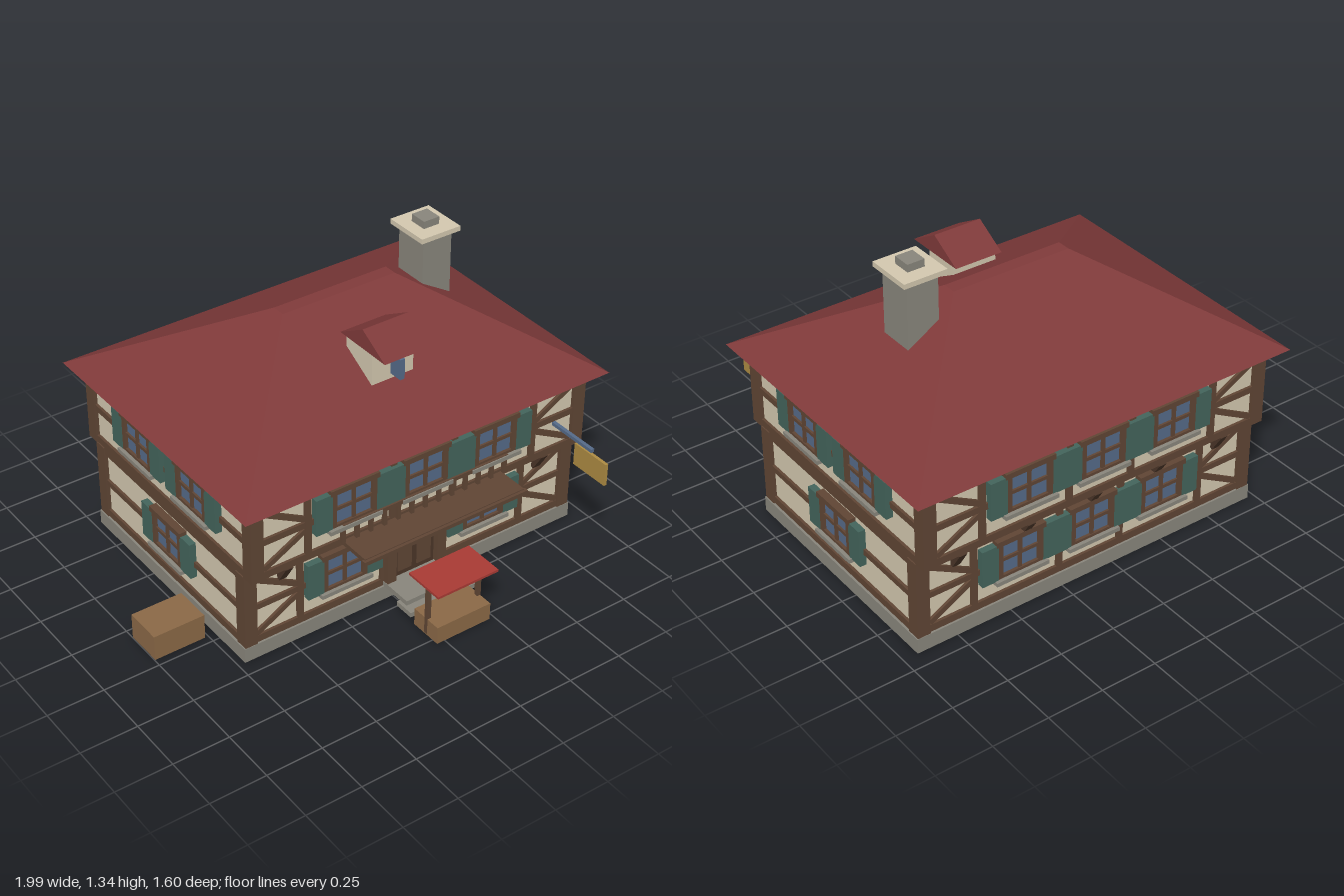
import * as THREE from 'three';

const colours = {
  plaster: 0xd2c7ae, timber: 0x5f4534, darkWood: 0x4a3528, roofRed: 0x7f3a3a, shutterGreen: 0x43645b,
  glassBlue: 0x556a88, stone: 0x88857b, crateWood: 0x8a6846, signGold: 0xac8a42, awningRed: 0xa83a34,
};
const M = {};
for (const [name, color] of Object.entries(colours)) {
  M[name] = new THREE.MeshStandardMaterial({ color });
  M[name].name = name;
}

// Box from its extents on each axis
function box(parent, name, mat, x0, x1, y0, y1, z0, z1) {
  const mesh = new THREE.Mesh(new THREE.BoxGeometry(x1 - x0, y1 - y0, z1 - z0), M[mat]);
  mesh.position.set((x0 + x1) / 2, (y0 + y1) / 2, (z0 + z1) / 2);
  mesh.name = name;
  parent.add(mesh);
  return mesh;
}

// Solid roof: a rectangle at the eaves narrowing to a smaller one on top
function hipRoof(parent, name, x, z, y0, y1, bx, bz, tx, tz) {
  const geo = new THREE.BoxGeometry(2, y1 - y0, 2).toNonIndexed();
  const p = geo.attributes.position;
  for (let i = 0; i < p.count; i++) {
    const top = p.getY(i) > 0;
    p.setX(i, p.getX(i) * (top ? tx : bx));
    p.setZ(i, p.getZ(i) * (top ? tz : bz));
  }
  geo.computeVertexNormals();
  const mesh = new THREE.Mesh(geo, M.roofRed);
  mesh.position.set(x, (y0 + y1) / 2, z);
  mesh.name = name;
  parent.add(mesh);
}

// Timber lying on a wall between two points
function brace(parent, x0, y0, x1, y1, z) {
  const len = Math.hypot(x1 - x0, y1 - y0);
  const mesh = box(parent, 'brace', 'timber', -len / 2, len / 2, -0.012, 0.012, z - 0.01, z + 0.012);
  mesh.position.x = (x0 + x1) / 2;
  mesh.position.y = (y0 + y1) / 2;
  mesh.rotation.z = Math.atan2(y1 - y0, x1 - x0);
}

// Four-pane window with shutters and sill; y is the bottom of the frame
function windowUnit(parent, x, y, z) {
  const g = new THREE.Group();
  g.name = 'window';
  g.position.set(x, y, z);
  parent.add(g);
  box(g, 'glass', 'glassBlue', -0.09, 0.09, 0, 0.165, -0.005, 0.015);
  for (const s of [-1, 1]) {
    box(g, 'frameSide', 'timber', s * 0.096 - 0.012, s * 0.096 + 0.012, 0, 0.17, 0, 0.028);
    box(g, 'shutter', 'shutterGreen', s * 0.144 - 0.038, s * 0.144 + 0.038, -0.003, 0.165, 0, 0.03);
  }
  box(g, 'frameHead', 'timber', -0.115, 0.115, 0.158, 0.182, 0, 0.034);
  box(g, 'frameFoot', 'timber', -0.1, 0.1, -0.002, 0.012, 0, 0.028);
  box(g, 'mullion', 'timber', -0.008, 0.008, 0, 0.17, 0, 0.024);
  box(g, 'glazingBar', 'timber', -0.09, 0.09, 0.075, 0.09, 0, 0.024);
  box(g, 'sill', 'stone', -0.124, 0.124, -0.018, 0, 0, 0.044);
}

// One storey of one wall: rails, posts, corner braces and windows
function facade(house, name, turn, floor, halfLen, depth, windows, framed) {
  const g = new THREE.Group();
  g.name = name;
  g.rotation.y = turn;
  house.add(g);
  const upper = floor === 1;
  const rails = upper ? [[0.42, 0.453], [0.578, 0.606], [0.735, 0.77]] : [[0.067, 0.1], [0.23, 0.256], [0.385, 0.42]];
  for (const [a, b] of rails) box(g, 'rail', 'timber', -halfLen, halfLen, a, b, depth - 0.01, depth + 0.012);
  const [low, mid, high] = [rails[0][1], (rails[1][0] + rails[1][1]) / 2, rails[2][0]];
  if (framed) {
    for (const x of [-0.555, -0.15, 0.15, 0.555]) {
      box(g, 'post', 'timber', x - 0.014, x + 0.014, low, high, depth - 0.01, depth + 0.014);
    }
    for (const s of [-1, 1]) {
      brace(g, s * 0.76, high - 0.01, s * 0.565, mid + 0.025, depth);
      brace(g, s * 0.76, low + 0.01, s * 0.565, mid - 0.025, depth);
    }
  }
  for (const x of windows) windowUnit(g, x, upper ? 0.533 : 0.181, depth);
  return g;
}

function createModel() {
  const model = new THREE.Group();
  model.name = 'timberHouse';
  const house = new THREE.Group();
  house.name = 'house';
  house.position.set(0.108, 0, -0.122);
  model.add(house);

  // Plinth, storeys and main roof
  box(house, 'plinth', 'stone', -0.827, 0.827, 0, 0.067, -0.556, 0.556);
  box(house, 'groundFloor', 'plaster', -0.805, 0.805, 0.06, 0.42, -0.535, 0.535);
  box(house, 'upperFloor', 'plaster', -0.805, 0.805, 0.42, 0.772, -0.592, 0.592);
  hipRoof(house, 'mainRoof', 0, 0, 0.77, 1.14, 0.885, 0.675, 0.273, 0.03);

  // Corner posts on both storeys
  for (const sx of [-1, 1]) for (const sz of [-1, 1]) {
    for (const [y0, y1, z] of [[0.067, 0.42, 0.524], [0.42, 0.77, 0.58]]) {
      box(house, 'cornerPost', 'timber', sx * 0.793 - 0.029, sx * 0.793 + 0.029, y0, y1, sz * z - 0.03, sz * z + 0.03);
    }
  }

  // Four sides
  const three = [-0.348, 0, 0.348];
  const front = facade(house, 'frontGround', 0, 0, 0.79, 0.535, [-0.348, 0.348], true);
  facade(house, 'frontUpper', 0, 1, 0.79, 0.592, three, true);
  const back = facade(house, 'backGround', Math.PI, 0, 0.79, 0.535, three, true);
  facade(house, 'backUpper', Math.PI, 1, 0.79, 0.592, three, true);
  for (const s of [-1, 1]) {
    facade(house, 'sideGround', s * Math.PI / 2, 0, 0.52, 0.805, [0], false);
    facade(house, 'sideUpper', s * Math.PI / 2, 1, 0.57, 0.805, [-0.201, 0.201], false);
  }

  // Slanted brackets under the overhang, front and back
  for (const wall of [front, back]) for (let i = -2; i <= 2; i++) {
    const x = i * 0.319;
    const b = box(wall, 'bracket', 'darkWood', x - 0.018, x + 0.018, 0.325, 0.42, 0.545, 0.572);
    b.rotation.x = 0.55;
  }

  // Door with frame and tilted canopy
  box(front, 'door', 'darkWood', -0.1, 0.1, 0.085, 0.325, 0.53, 0.552);
  for (const s of [-1, 1]) {
    box(front, 'doorPost', 'timber', s * 0.126 - 0.022, s * 0.126 + 0.022, 0.07, 0.335, 0.53, 0.575);
    box(front, 'doorPanel', 'timber', s * 0.048 - 0.035, s * 0.048 + 0.035, 0.11, 0.3, 0.55, 0.556);
  }
  box(front, 'doorHead', 'timber', -0.165, 0.165, 0.325, 0.368, 0.53, 0.59);
  const canopy = box(front, 'doorCanopy', 'roofRed', -0.18, 0.18, 0.376, 0.392, 0.558, 0.682);
  canopy.rotation.x = -0.2;

  // Front steps
  box(front, 'upperStep', 'stone', -0.15, 0.15, 0.063, 0.087, 0.54, 0.705);
  box(front, 'lowerStep', 'stone', -0.165, 0.165, 0.043, 0.065, 0.66, 0.752);

  // Balcony with railing
  const balcony = new THREE.Group();
  balcony.name = 'balcony';
  house.add(balcony);
  box(balcony, 'balconyFloor', 'timber', -0.395, 0.395, 0.422, 0.442, 0.58, 0.752);
  box(balcony, 'balconyEdge', 'timber', -0.405, 0.405, 0.42, 0.438, 0.745, 0.765);
  box(balcony, 'handrail', 'timber', -0.408, 0.408, 0.517, 0.535, 0.6, 0.63);
  for (let i = -6; i <= 6; i++) {
    const x = i * 0.0668;
    box(balcony, 'baluster', 'timber', x - 0.008, x + 0.008, 0.44, 0.52, 0.607, 0.623);
  }

  // Dormer: ridge runs across, small window stands out in front
  box(model, 'dormerWall', 'plaster', 0.005, 0.206, 0.9, 1.085, 0.1, 0.267);
  hipRoof(model, 'dormerRoof', 0.11, 0.21, 1.078, 1.163, 0.11, 0.146, 0.11, 0.001);
  box(model, 'dormerWindow', 'glassBlue', 0.095, 0.117, 0.958, 1.05, 0.262, 0.33);

  // Chimney
  box(model, 'chimneyStack', 'stone', 0.483, 0.625, 0.93, 1.282, -0.2, -0.04);
  box(model, 'chimneyCap', 'plaster', 0.457, 0.651, 1.28, 1.302, -0.226, -0.016);
  box(model, 'chimneyPot', 'stone', 0.515, 0.592, 1.3, 1.335, -0.161, -0.08);

  // Hanging sign on its arm
  box(model, 'signArm', 'glassBlue', 0.776, 0.792, 0.552, 0.567, 0.465, 0.712);
  box(model, 'signBoard', 'signGold', 0.777, 0.791, 0.44, 0.543, 0.612, 0.8);

  // Side crate and market stall
  box(model, 'sideCrate', 'crateWood', -1, -0.768, 0.005, 0.12, 0.05, 0.22);
  box(model, 'stallCounter', 'crateWood', -0.04, 0.226, 0.003, 0.083, 0.632, 0.782);
  for (const x of [-0.032, 0.22]) box(model, 'stallPost', 'timber', x - 0.009, x + 0.009, 0.01, 0.25, 0.698, 0.716);
  box(model, 'stallAwning', 'awningRed', -0.057, 0.243, 0.249, 0.26, 0.612, 0.8);

  return model;
}

export { createModel };
